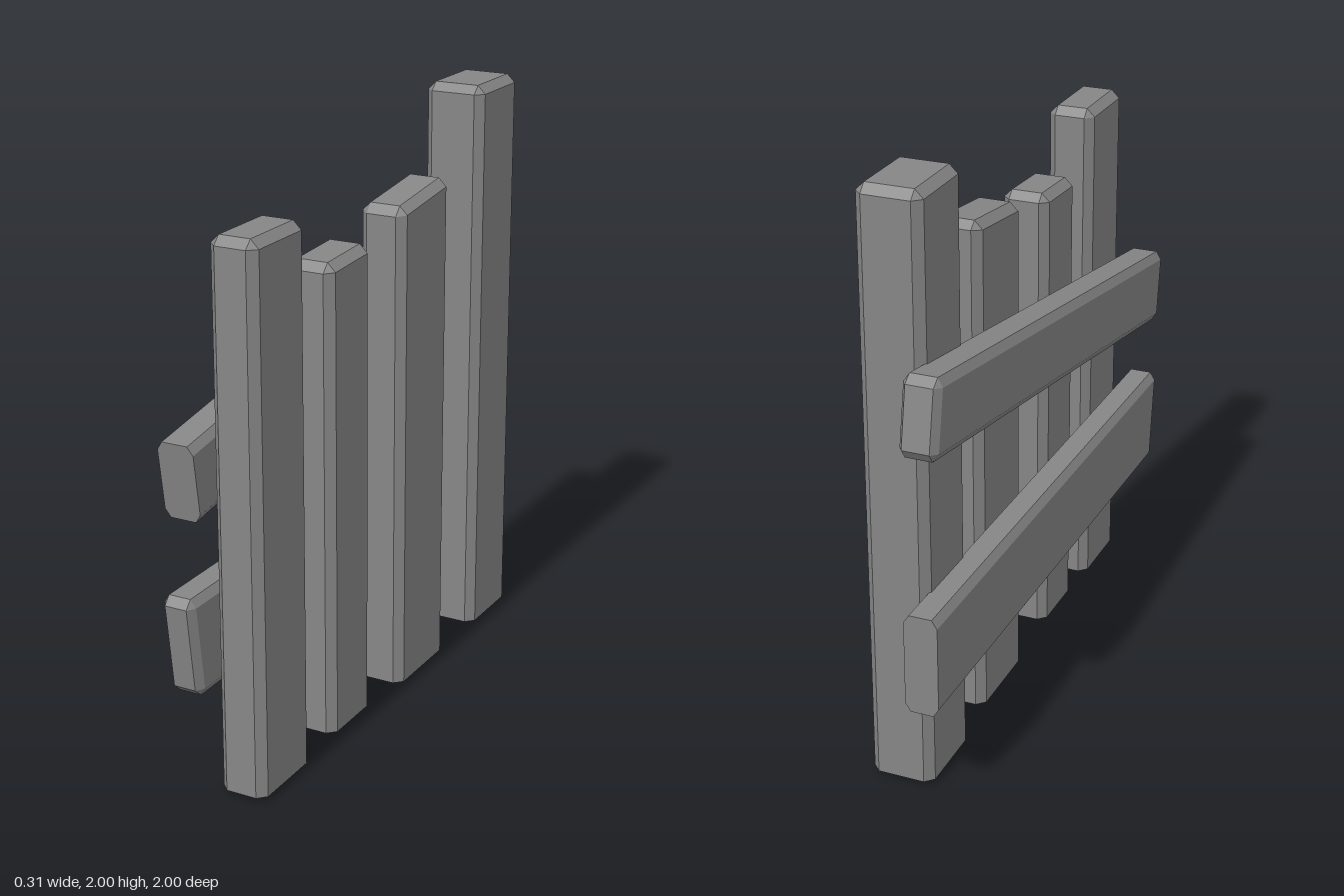
import * as THREE from 'three';
import { ConvexGeometry } from 'three/addons/geometries/ConvexGeometry.js';

const material = new THREE.MeshStandardMaterial({ color: 0x868686, flatShading: true });
const BEVEL = 0.028;

// A bevelled plank. Side profile corners are [z, y]: sawn end a0-a1, bevelled end b0-b1
// (a0-b0 and a1-b1 are the long edges); x0..x1 is the thickness, bevelX the bevel across it.
function plank(name, [a0, a1], [b0, b1], x0, x1, bevelX) {
  const [A0, A1, B0, B1] = [a0, a1, b0, b1].map((p) => new THREE.Vector2(...p));
  const points = [];
  // adds corners [inset across the width, x] on both long edges of the section p0-p1
  const section = (p0, p1, corners) => {
    const width = p0.distanceTo(p1);
    for (const [inset, x] of corners) {
      for (const t of [inset / width, 1 - inset / width]) {
        const p = p0.clone().lerp(p1, t);
        points.push(new THREE.Vector3(x, p.y, p.x));
      }
    }
  };
  const back = (B, A) => A.clone().sub(B).setLength(BEVEL).add(B);
  const xi0 = x0 + bevelX, xi1 = x1 - bevelX;
  const octagon = [[0, xi0], [0, xi1], [BEVEL, x0], [BEVEL, x1]];
  section(A0, A1, octagon);
  section(back(B0, A0), back(B1, A1), octagon);
  section(B0, B1, [[BEVEL, xi0], [BEVEL, xi1]]);
  const mesh = new THREE.Mesh(new ConvexGeometry(points), material);
  mesh.name = name;
  return mesh;
}

export function createModel() {
  const fence = new THREE.Group();
  fence.name = 'fence';

  // Upright pickets: z edges, foot height, top height at each edge, x range
  const pickets = [
    [0.887, 0.59, 0.014, 1.81, 1.81, -0.022, 0.14],
    [0.443, 0.182, 0.03, 1.627, 1.64, -0.022, 0.14],
    [-0.03, -0.366, 0.0, 1.695, 1.735, -0.022, 0.14],
    [-0.563, -0.855, 0.014, 1.997, 1.997, -0.057, 0.157],
  ];
  pickets.forEach(([z0, z1, foot, top0, top1, x0, x1], i) => {
    fence.add(plank(`picket${i + 1}`, [[z0, foot], [z1, foot]], [[z0, top0], [z1, top1]], x0, x1, BEVEL));
  });

  // Cross rails behind the pickets, each sawn off at one end
  fence.add(plank('lowerRail', [[-0.98, 0.362], [-0.98, 0.702]], [[0.96, 0.355], [1.004, 0.696]], -0.145, -0.033, 0.018));
  fence.add(plank('upperRail', [[0.932, 0.93], [0.97, 1.185]], [[-1.005, 1.235], [-0.96, 1.485]], -0.158, -0.033, 0.018));
  return fence;
}
